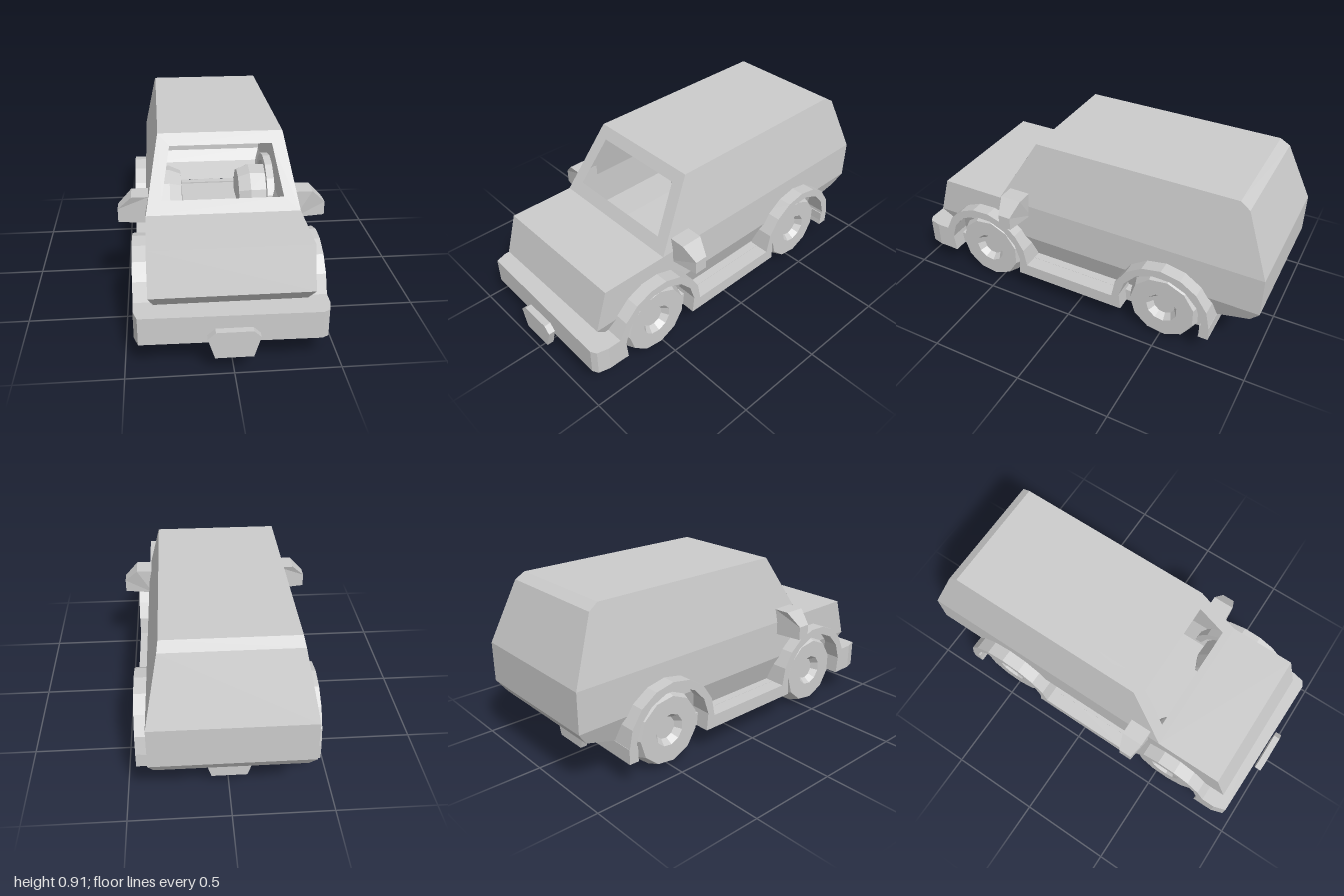
import * as THREE from 'three';

const grey = new THREE.MeshStandardMaterial({ color: 0xcccccc, flatShading: true });
const greyShell = new THREE.MeshStandardMaterial({ color: 0xcccccc, flatShading: true, side: THREE.DoubleSide });

function add(parent, name, geometry, material = grey) {
  const mesh = new THREE.Mesh(geometry, material);
  mesh.name = name;
  parent.add(mesh);
  return mesh;
}

const shapeOf = (pts) => new THREE.Shape(pts.map(([a, b]) => new THREE.Vector2(a, b)));
const extrude = (pts, depth) => new THREE.ExtrudeGeometry(shapeOf(pts), { depth, bevelEnabled: false });

// One mesh from flat convex panels, each a counter-clockwise list of [x, y, z] corners
function panels(list) {
  const pos = [];
  for (const p of list) {
    for (let i = 1; i < p.length - 1; i++) pos.push(...p[0], ...p[i], ...p[i + 1]);
  }
  const g = new THREE.BufferGeometry();
  g.setAttribute('position', new THREE.Float32BufferAttribute(pos, 3));
  g.computeVertexNormals();
  return g;
}

// Half width of the body at height y
function halfWidth(y) {
  if (y > 0.56) return 0.385 - 0.2 * (y - 0.56);
  return y < 0.35 ? 0.385 - 0.36 * (0.35 - y) : 0.385;
}

// Strip across the body between two [z, y] profile points
function across(a, b) {
  const wa = halfWidth(a[1]), wb = halfWidth(b[1]);
  return [[wa, a[1], a[0]], [wb, b[1], b[0]], [-wb, b[1], b[0]], [-wa, a[1], a[0]]];
}

// Both side panels over a list of [z, y] points
function sides(pts) {
  const left = pts.map(([z, y]) => [halfWidth(y), y, z]);
  const right = left.map(([x, y, z]) => [-x, y, z]).reverse();
  return [left, right];
}

function buildBody(parent) {
  const body = new THREE.Group();
  body.name = 'body';
  parent.add(body);

  const nose = [[0.83, 0.28], [0.89, 0.35], [0.825, 0.56], [0.47, 0.56]];
  const back = [[0.26, 0.913], [-0.82, 0.913], [-0.87, 0.88], [-1, 0.56], [-1, 0.35], [-0.95, 0.28], [-0.78, 0.22]];
  const strips = (pts) => pts.slice(1).map((p, i) => across(pts[i], p));
  add(body, 'bonnet', panels(strips(nose)), greyShell);
  add(body, 'roofAndTail', panels(strips(back)), greyShell);
  add(body, 'sidePanels', panels([
    ...sides([[0.47, 0.56], [-1, 0.56], [-0.87, 0.88], [-0.82, 0.913], [0.26, 0.913]]),
    ...sides([[0.89, 0.35], [-1, 0.35], [-1, 0.56], [0.825, 0.56]]),
    ...sides([[0.83, 0.28], [0.78, 0.2], [-0.78, 0.22], [-0.95, 0.28], [-1, 0.35], [0.89, 0.35]]),
  ]), greyShell);

  // Open windscreen frame on the sloping front plane
  const onPlane = (x, y) => [x, y, 0.47 - 0.595 * (y - 0.56)];
  const outer = [[-0.385, 0.56], [0.385, 0.56], [0.315, 0.913], [-0.315, 0.913]];
  const inner = [[-0.305, 0.622], [0.305, 0.622], [0.258, 0.857], [-0.258, 0.857]];
  add(body, 'windscreenFrame', panels(outer.map((p, i) => {
    const j = (i + 1) % 4;
    return [p, outer[j], inner[j], inner[i]].map(([x, y]) => onPlane(x, y));
  })), greyShell);

  // Thin sliver on the roof
  add(body, 'roofSliver', panels([
    [[-0.23, 0.915, -0.03], [-0.25, 0.915, 0.1], [-0.232, 0.915, 0.17]],
  ]), greyShell);
}

function buildChassis(parent, axles) {
  const floor = add(parent, 'floor', new THREE.BoxGeometry(0.76, 0.07, 1.58));
  floor.position.set(0, 0.176, 0.01);

  // Front bumper, from its plan outline
  const plan = [[-0.455, 0.78], [-0.455, 0.88], [-0.435, 0.943], [0.41, 0.957], [0.44, 0.94], [0.455, 0.88], [0.455, 0.78]];
  const bumper = extrude(plan, 0.14);
  bumper.rotateX(Math.PI / 2);
  bumper.translate(0, 0.283, 0);
  add(parent, 'frontBumper', bumper);

  const rear = add(parent, 'rearBumper', new THREE.BoxGeometry(0.91, 0.078, 0.05));
  rear.position.set(0, 0.18, -0.755);

  // Sills with flared wheel arches, one profile per side
  const arc = (cz, r, from, to, n) => Array.from({ length: n + 1 }, (_, i) => {
    const a = from + (to - from) * i / n;
    return [cz + r * Math.cos(a), 0.21 + r * Math.sin(a)];
  });
  const dip = 0.31;
  const profile = [[-0.78, 0.142]];
  for (const cz of axles) profile.push(...arc(cz, 0.228, Math.PI + dip, -dip, 9));
  profile.push([0.81, 0.142], [0.81, 0.283]);
  for (const cz of [...axles].reverse()) {
    profile.push(...arc(cz, 0.27, cz > 0 ? 0.27 : 0, Math.PI, 8));
  }
  for (const s of [1, -1]) {
    const trim = extrude(profile, 0.115);
    trim.rotateY(-Math.PI / 2);
    trim.translate(s > 0 ? 0.455 : -0.34, 0, 0);
    add(parent, s > 0 ? 'leftSillAndArches' : 'rightSillAndArches', trim);
  }
}

function buildWheels(parent, axles) {
  // Radius and distance along the axle, from the inside face to the hub
  const section = [[0, 0.172], [0.09, 0.172], [0.175, 0.178], [0.207, 0.25], [0.203, 0.35],
    [0.178, 0.42], [0.085, 0.42], [0.06, 0.385], [0, 0.385]];
  const tyre = new THREE.LatheGeometry(section.map(([r, h]) => new THREE.Vector2(r, h)), 11);
  tyre.rotateZ(-Math.PI / 2);
  for (const z of axles) {
    for (const s of [1, -1]) {
      const wheel = add(parent, (z > 0 ? 'front' : 'rear') + (s > 0 ? 'Left' : 'Right') + 'Wheel', tyre);
      wheel.position.set(0, 0.21, z);
      if (s < 0) wheel.rotation.y = Math.PI;
    }
  }
}

function buildDetails(parent) {
  // Door mirrors, deeper where they meet the body
  for (const s of [1, -1]) {
    const g = extrude([[0.37, 0.492], [0.525, 0.492], [0.525, 0.563], [0.455, 0.633], [0.37, 0.633]]
      .map(([x, y]) => [s * x, y]), 1);
    const p = g.attributes.position;
    for (let i = 0; i < p.count; i++) {
      const near = Math.abs(p.getX(i)) < 0.46;
      p.setZ(i, p.getZ(i) > 0.5 ? (near ? 0.405 : 0.383) : (near ? 0.29 : 0.315));
    }
    g.computeVertexNormals();
    add(parent, s > 0 ? 'leftMirror' : 'rightMirror', g);
  }

  // Blank plates on both bumpers
  const outline = [[-0.09, 0.092], [0.088, 0.092], [0.12, 0.195], [0.086, 0.228], [-0.086, 0.228], [-0.123, 0.195]];
  const front = add(parent, 'frontPlate', extrude(outline, 0.035));
  front.position.z = 0.965;
  const rear = add(parent, 'rearPlate', extrude(outline, 0.035));
  rear.position.set(0, -0.008, -0.812);
}

export function createModel() {
  const model = new THREE.Group();
  model.name = 'van';
  const axles = [-0.51, 0.55];
  buildBody(model);
  buildChassis(model, axles);
  buildWheels(model, axles);
  buildDetails(model);
  return model;
}
